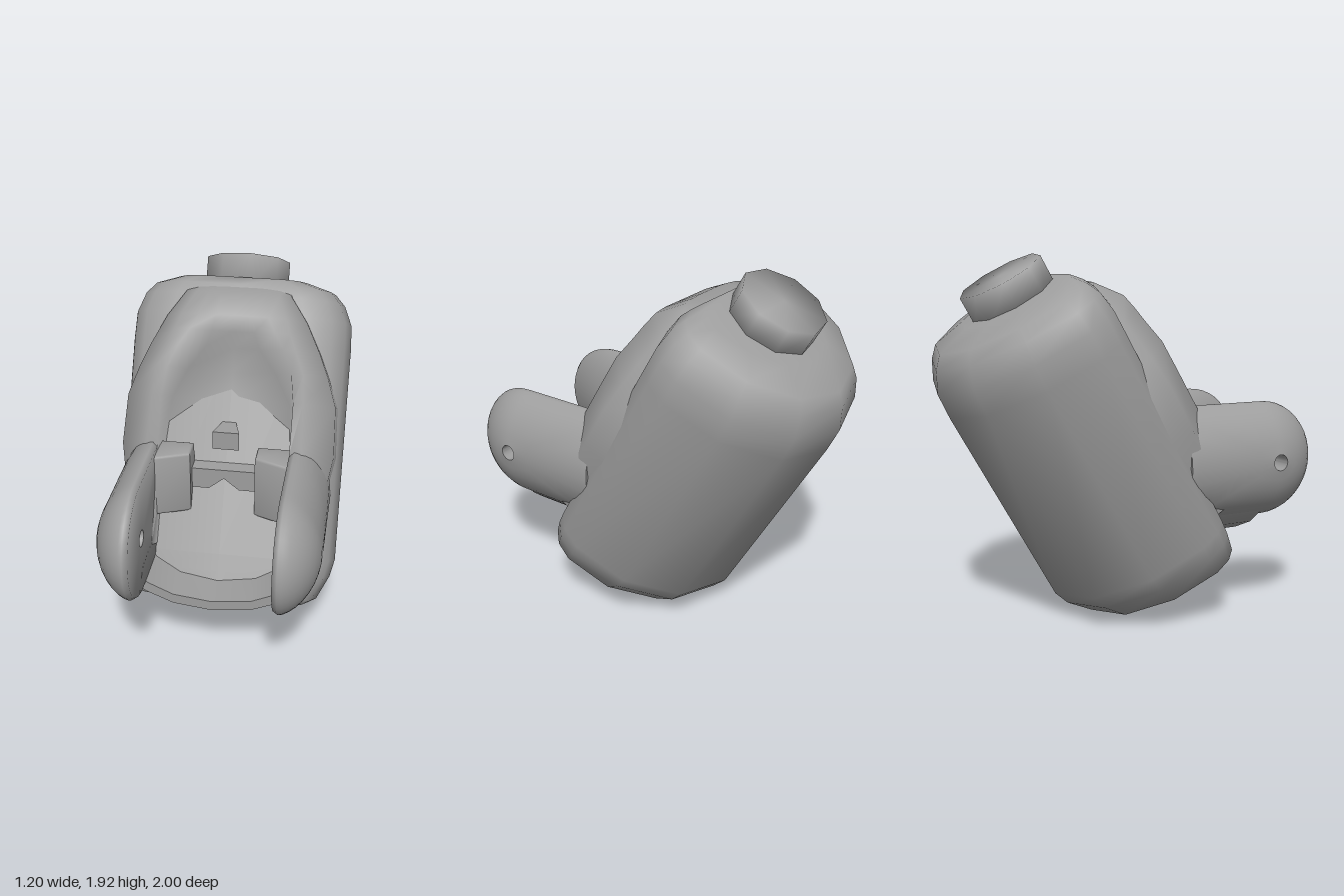
import * as THREE from 'three';
import { toCreasedNormals } from 'three/addons/utils/BufferGeometryUtils.js';

const material = new THREE.MeshStandardMaterial({ color: 0x9e9e9e, side: THREE.DoubleSide });
const SOFT = 1.7; // crease angle that also rounds the shading over right-angled edges

function addMesh(parent, name, geometry) {
  const mesh = new THREE.Mesh(geometry, material);
  mesh.name = name;
  parent.add(mesh);
  return mesh;
}

// Skin through rings of [x, y, z] points; optional flat caps on closed rings
function loft(rings, { closed = true, caps = false, crease = SOFT } = {}) {
  const n = rings[0].length;
  const index = [];
  for (let i = 0; i < rings.length - 1; i++) {
    for (let j = 0; j < (closed ? n : n - 1); j++) {
      const a = i * n + j, b = i * n + (j + 1) % n;
      index.push(a, b, b + n, a, b + n, a + n);
    }
  }
  if (caps) {
    const last = (rings.length - 1) * n;
    for (let j = 1; j < n - 1; j++) {
      index.push(0, j + 1, j);
      index.push(last, last + j, last + j + 1);
    }
  }
  const g = new THREE.BufferGeometry();
  g.setAttribute('position', new THREE.Float32BufferAttribute(rings.flat(2), 3));
  g.setIndex(index);
  g.computeVertexNormals();
  return toCreasedNormals(g, crease);
}

// Tank: D-shaped section, shrunk towards its front face at both ends
function tankGeometry() {
  const front = 0.63;
  const half = [[0, 0.63], [0.36, 0.63], [0.5, 0.58], [0.57, 0.5], [0.6, 0.38],
    [0.53, 0.08], [0.31, -0.17], [0, -0.26]];
  const section = [...half, ...half.slice(1, -1).reverse().map(([x, z]) => [-x, z])];
  // [height, scale, front face pulled back]
  const levels = [[0.05, 0.78, 0], [0.075, 0.86, 0], [0.2, 0.965, 0], [0.29, 1, 0],
    [1.42, 1, 0], [1.557, 0.99, 0], [1.66, 0.92, 0.01], [1.72, 0.83, 0.04], [1.76, 0.6, 0.09]];
  return loft(levels.map(([y, s, back]) =>
    section.map(([x, z]) => [x * s, y, front - back - (front - z) * s + back * (1 - s)])),
  { caps: true });
}

// Raised cowl on the tank front, with a recess between its two cheeks
function cowlGeometry() {
  // [height, outer x, shoulder x, ridge x, ridge z, recess x, recess z, centre z]
  const levels = [
    [0.32, 0.47, 0.4, 0.34, 0.75, 0.335, 0.6, 0.6],
    [0.84, 0.56, 0.4, 0.34, 0.8, 0.33, 0.62, 0.6],
    [1.1, 0.55, 0.39, 0.34, 0.8, 0.31, 0.64, 0.62],
    [1.25, 0.5, 0.38, 0.32, 0.8, 0.23, 0.68, 0.645],
    [1.37, 0.45, 0.33, 0.27, 0.79, 0.14, 0.72, 0.69],
    [1.45, 0.41, 0.3, 0.22, 0.785, 0.11, 0.755, 0.74],
    [1.53, 0.37, 0.27, 0.18, 0.775, 0.09, 0.775, 0.775],
    [1.66, 0.28, 0.22, 0.15, 0.68, 0.08, 0.685, 0.685],
    [1.74, 0.26, 0.2, 0.13, 0.53, 0.07, 0.53, 0.53],
  ];
  return loft(levels.map(([y, xo, xs, xi, zt, xr, zr, zc]) => {
    const half = [[xo + 0.01, 0.45], [xo, Math.min(0.64, zt - 0.04)],
      [xs, zt - 0.01], [xi, zt], [xr, zr]];
    return [...half.map(([x, z]) => [-x, y, z]), [0, y, zc],
      ...half.reverse().map(([x, z]) => [x, y, z])];
  }), { closed: false });
}

// Forward arm: flat inside, domed outside, rounded tip and a pin hole
function armGeometry() {
  const cy = 0.83, cz = 0.69, R = 0.308, hole = 0.043, inner = 0.34, depth = 0.19;
  const sides = 40;
  const ring = (t, flatX) => Array.from({ length: sides }, (_, j) => {
    const a = j / sides * Math.PI * 2, c = Math.cos(a), s = Math.sin(a);
    const reach = c >= -1e-6 ? R : Math.min(R / Math.max(Math.abs(s), 1e-6), 0.55 / -c);
    const r = hole + (reach - hole) * t;
    const y = r * s, z = r * c;
    const d = Math.min(1, Math.hypot(y, Math.max(z, 0)) / R);
    const x = flatX ?? inner + 0.025 + depth * Math.pow(1 - d * d, 0.65);
    return [x, cy + y, cz + z];
  });
  const rings = [];
  for (let i = 0; i <= 8; i++) rings.push(ring(Math.sin(i / 8 * Math.PI / 2)));
  rings.push(ring(0.94, inner), ring(0, inner), ring(0));
  return loft(rings, { crease: 1.2 });
}

// Curved floor lip: a crescent strip between the arms
function lipGeometry() {
  const under = [[0.46, 0.6], [0.42, 0.54], [0.34, 0.475], [0.2, 0.415], [0, 0.39]];
  const over = [[0, 0.445], [0.2, 0.47], [0.33, 0.53], [0.42, 0.6]];
  const mirror = (pts) => pts.map(([x, y]) => [-x, y]);
  const outline = [...under, ...mirror(under.slice(0, -1)).reverse(),
    ...mirror(over.slice(1)).reverse(), ...over];
  const shape = new THREE.Shape(outline.map(([x, y]) => new THREE.Vector2(x, y)));
  const g = new THREE.ExtrudeGeometry(shape, { depth: 0.3, bevelEnabled: false });
  return toCreasedNormals(g.translate(0, 0, 0.35), 1);
}

// Upright pad with a slanted front, beside each arm
function padGeometry() {
  const shape = new THREE.Shape([[0.18, -0.18], [0.35, -0.18], [0.35, -0.35], [0.18, -0.28]]
    .map(([x, y]) => new THREE.Vector2(x, y)).reverse());
  const g = new THREE.ExtrudeGeometry(shape, {
    depth: 0.32, bevelSize: 0.012, bevelThickness: 0.015, bevelSegments: 2,
  });
  return toCreasedNormals(g.rotateX(-Math.PI / 2).translate(0, 0.765, 0), 1);
}

export function createModel() {
  const model = new THREE.Group();
  model.name = 'tankWithArms';

  // Leaning tank, cap and cowl share one tilted frame
  const tilted = new THREE.Group();
  tilted.name = 'tiltedBody';
  tilted.rotation.x = -Math.PI / 6;
  model.add(tilted);
  addMesh(tilted, 'tank', tankGeometry());
  addMesh(tilted, 'cowl', cowlGeometry());
  const cap = addMesh(tilted, 'cap',
    toCreasedNormals(new THREE.CylinderGeometry(0.23, 0.23, 0.17, 9), SOFT));
  cap.position.set(0, 1.808, 0.33);
  cap.rotation.y = Math.PI / 18;

  // Mirrored arms and pads
  for (const side of [1, -1]) {
    const label = side > 0 ? 'left' : 'right';
    addMesh(model, label + 'Arm', armGeometry()).scale.x = side;
    addMesh(model, label + 'Pad', padGeometry()).scale.x = side;
  }

  addMesh(model, 'floorLip', lipGeometry());

  // Cross bar between the pads, its lower edge notched to a shallow peak
  const barShape = new THREE.Shape([[-0.18, 0.87], [-0.08, 0.87], [0, 0.935], [0.08, 0.87],
    [0.18, 0.87], [0.18, 0.985], [-0.18, 0.985]].map(([x, y]) => new THREE.Vector2(x, y)));
  const bar = new THREE.ExtrudeGeometry(barShape, { depth: 0.12, bevelEnabled: false });
  addMesh(model, 'crossBar', bar).position.z = 0.12;

  // Small block narrowing towards the back
  const block = new THREE.BoxGeometry(0.14, 0.1, 0.16);
  const p = block.attributes.position;
  for (let i = 0; i < p.count; i++) if (p.getZ(i) < 0) p.setX(i, p.getX(i) * 0.35);
  block.computeVertexNormals();
  addMesh(model, 'smallBlock', block).position.set(0, 1.12, 0.09);

  return model;
}
